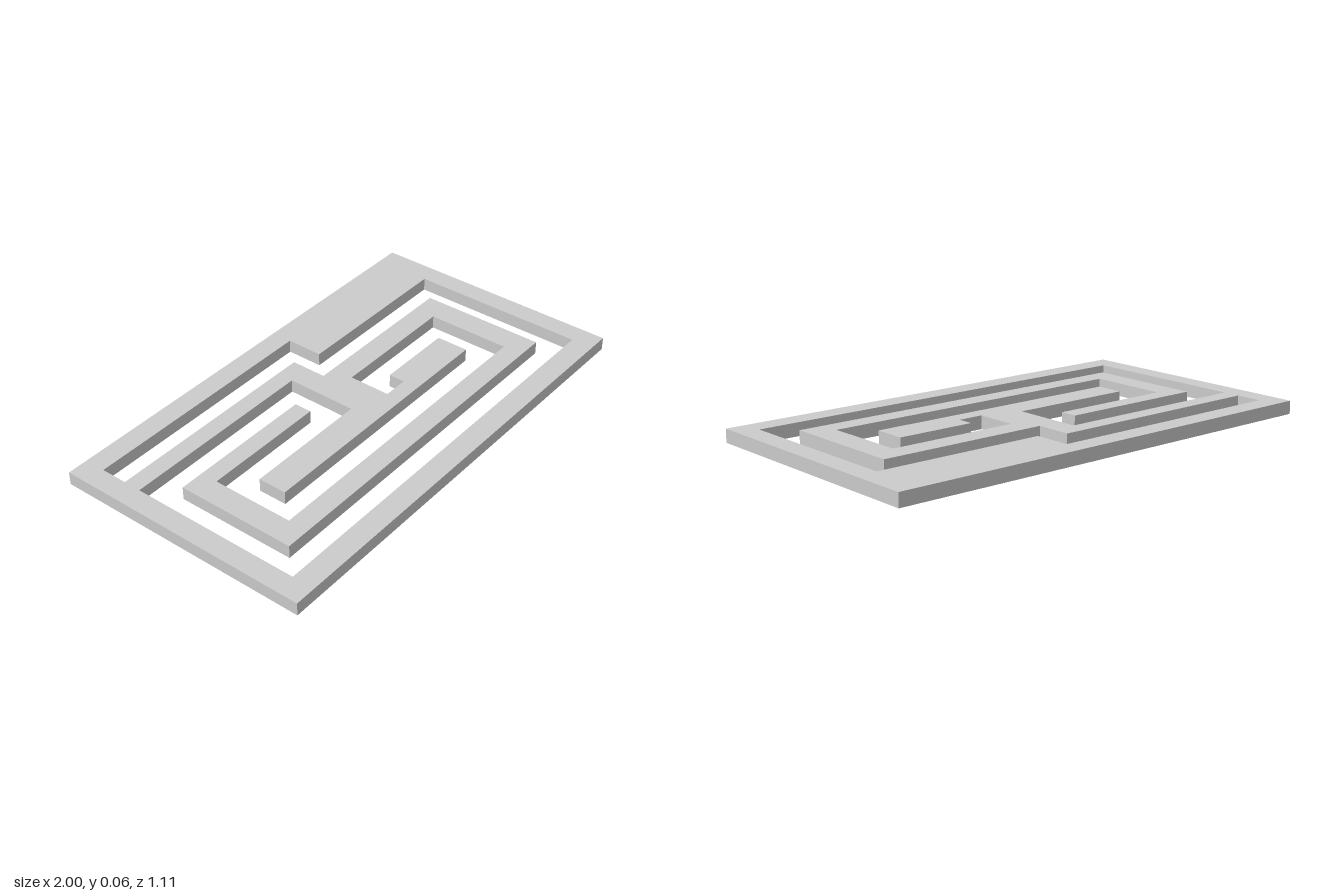
import * as THREE from 'three';

const HEIGHT = 0.056;

// Outer edge of the slab as [x, z], wound opposite to the slot
const edge = [[-1, 0.555], [1, 0.555], [1, -0.555], [-1, -0.555]];

// One continuous slot, walked around its rim as [x, z]
const slot = [
  // inside of the frame
  [-0.91, -0.465], [0.17, -0.465], [0.17, -0.307], [0.91, -0.307], [0.91, 0.46], [-0.91, 0.46],
  // bridge from the left frame to the inner bar
  [-0.91, -0.277], [-0.04, -0.277], [-0.04, 0.028],
  // inner bar
  [-0.588, 0.028], [-0.588, 0.151], [0.574, 0.151], [0.574, 0.011], [0.235, 0.011], [0.235, 0.081], [0.126, 0.081],
  // inside of the winding arm, its tip, then its outside
  [0.126, -0.1], [0.69, -0.1], [0.69, 0.263], [-0.697, 0.263], [-0.697, -0.088], [-0.152, -0.088],
  [-0.152, -0.163], [-0.8, -0.163], [-0.8, 0.351], [0.8, 0.351], [0.8, -0.197],
  // back along the bridge
  [0.063, -0.197], [0.063, -0.352], [-0.91, -0.352],
];

const toPoints = (list) => list.map(([x, z]) => new THREE.Vector2(x, -z));

export function createModel() {
  const group = new THREE.Group();
  group.name = 'mazePlate';

  const shape = new THREE.Shape(toPoints(edge));
  shape.holes.push(new THREE.Path(toPoints(slot)));

  // Lay the extrusion flat on the ground
  const geometry = new THREE.ExtrudeGeometry(shape, { depth: HEIGHT, bevelEnabled: false });
  geometry.rotateX(-Math.PI / 2);

  const plate = new THREE.Mesh(geometry, new THREE.MeshStandardMaterial({ color: 0xcccccc, flatShading: true }));
  plate.name = 'slottedPlate';
  group.add(plate);
  return group;
}
